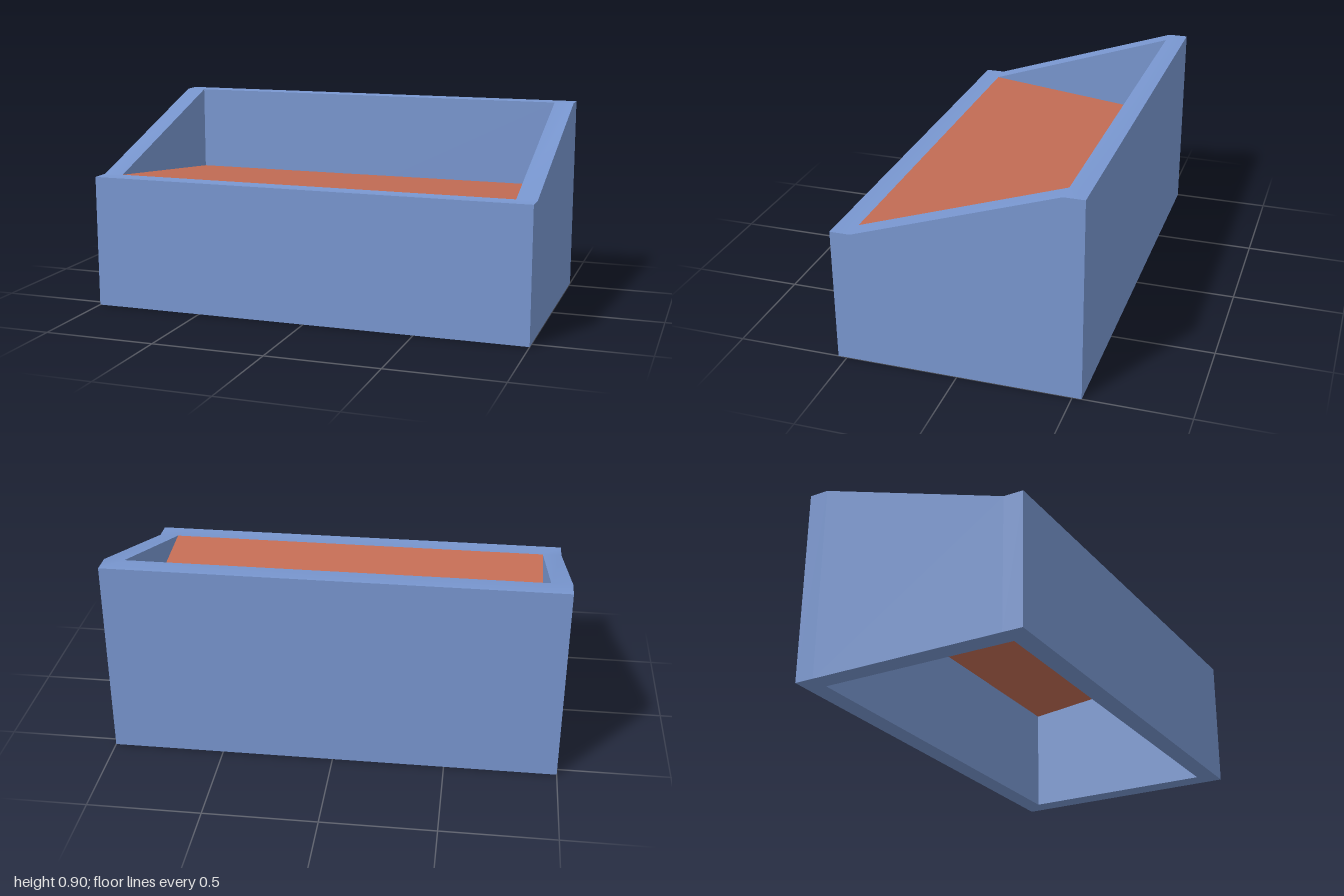
import * as THREE from 'three';
import { toCreasedNormals } from 'three/addons/utils/BufferGeometryUtils.js';

const X = [-1, -0.91, 0.91, 1]; // outer and inner wall lines across
const Z = [-0.54, -0.45, 0.45, 0.54]; // outer and inner wall lines, back to front
const RIM = [0.9, 0.9, 0.6, 0.6]; // rim height at each z line

// Counter-clockwise quads to a geometry
function quadGeometry(quads) {
  const geometry = new THREE.BufferGeometry();
  const points = quads.flatMap(([a, b, c, d]) => [a, b, c, a, c, d]).flat();
  geometry.setAttribute('position', new THREE.Float32BufferAttribute(points, 3));
  geometry.computeVertexNormals();
  return geometry;
}

// Walls: a 3 x 3 plan of blocks with the middle one left open
function wallGeometry() {
  const quads = [];
  const isWall = (i, j) => i >= 0 && i < 3 && j >= 0 && j < 3 && !(i === 1 && j === 1);
  const neighbours = [[0, 1], [1, 0], [0, -1], [-1, 0]];
  for (let i = 0; i < 3; i++) {
    for (let j = 0; j < 3; j++) {
      if (!isWall(i, j)) continue;
      const plan = [[i, j + 1], [i + 1, j + 1], [i + 1, j], [i, j]];
      const top = plan.map(([a, b]) => [X[a], RIM[b], Z[b]]);
      const base = plan.map(([a, b]) => [X[a], 0, Z[b]]);
      quads.push(top, [...base].reverse());
      // Side faces only where the block borders open space
      neighbours.forEach(([di, dj], k) => {
        const n = (k + 1) % 4;
        if (!isWall(i + di, j + dj)) quads.push([base[k], base[n], top[n], top[k]]);
      });
    }
  }
  return toCreasedNormals(quadGeometry(quads), Math.PI / 6);
}

export function createModel() {
  const blue = new THREE.MeshStandardMaterial({ color: 0x7896cf });
  blue.name = 'blue';
  const terracotta = new THREE.MeshStandardMaterial({ color: 0xc46d55, side: THREE.DoubleSide });
  terracotta.name = 'terracotta';

  const model = new THREE.Group();
  model.name = 'slopedBox';

  const walls = new THREE.Mesh(wallGeometry(), blue);
  walls.name = 'walls';

  // Inner panel, flush with the front rim and falling towards the back
  const panel = new THREE.Mesh(quadGeometry([[
    [X[1], 0.6, Z[2]], [X[2], 0.6, Z[2]], [X[2], 0.5, Z[1]], [X[1], 0.5, Z[1]],
  ]]), terracotta);
  panel.name = 'innerPanel';

  model.add(walls, panel);
  return model;
}
